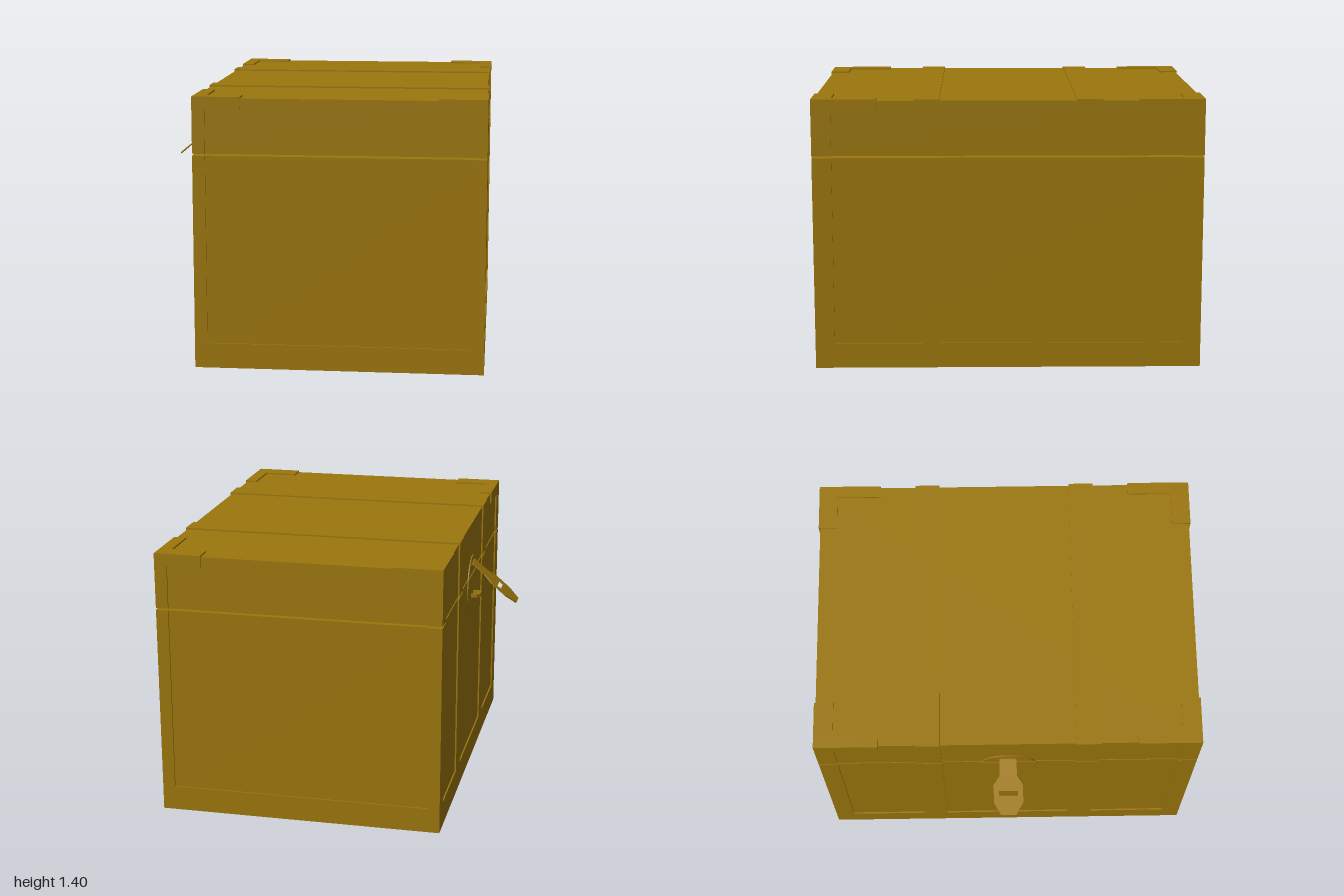
import * as THREE from 'three';

const material = new THREE.MeshStandardMaterial({ color: 0x9c770d, side: THREE.DoubleSide });

// Overall extents of the chest
const X0 = -0.62, X1 = 0.865, Z = 1, H = 1.405;
const BODY_TOP = 1.105, LID_BOTTOM = 1.115;
const POST_X = 0.065, POST_Z = 0.1, RAIL = 0.13, PLATE = 0.065;
const D = 0.008; // depth of the recessed panels

function add(parent, name, geometry) {
  const mesh = new THREE.Mesh(geometry, material);
  mesh.name = name;
  parent.add(mesh);
  return mesh;
}

// Box given by its two extreme corners
function slab(parent, name, x0, x1, y0, y1, z0, z1) {
  const mesh = add(parent, name, new THREE.BoxGeometry(x1 - x0, y1 - y0, z1 - z0));
  mesh.position.set((x0 + x1) / 2, (y0 + y1) / 2, (z0 + z1) / 2);
  return mesh;
}

// Calls build(x range maker, z range maker) for each of the four corners;
// both makers take distances measured inwards from the corner
function eachCorner(build) {
  for (const left of [false, true]) for (const front of [false, true]) {
    const xr = (a, b) => (left ? [X1 - b, X1 - a] : [X0 + a, X0 + b]);
    const zr = (a, b) => (front ? [Z - b, Z - a] : [-Z + a, -Z + b]);
    build(xr, zr);
  }
}

function buildBody() {
  const body = new THREE.Group();
  body.name = 'body';
  slab(body, 'bodyPanels', X0 + D, X1 - D, D, BODY_TOP, -Z + D, Z - D);
  eachCorner((xr, zr) => slab(body, 'bodyCornerPost', ...xr(0, POST_X), 0, BODY_TOP, ...zr(0, POST_Z)));
  // Bottom rails between the posts
  for (const [a, b] of [[-Z, -Z + POST_Z], [Z - POST_Z, Z]])
    slab(body, 'endRail', X0 + POST_X, X1 - POST_X, 0, RAIL, a, b);
  for (const [a, b] of [[X0, X0 + POST_X], [X1 - POST_X, X1]])
    slab(body, 'sideRail', a, b, 0, RAIL, -Z + POST_Z, Z - POST_Z);
  return body;
}

function buildLid() {
  const lid = new THREE.Group();
  lid.name = 'lid';
  slab(lid, 'lidPanels', X0 + D, X1 - D, LID_BOTTOM, H - D, -Z + D, Z - D);
  eachCorner((xr, zr) => {
    slab(lid, 'lidCornerPost', ...xr(0, POST_X), LID_BOTTOM, H, ...zr(0, POST_Z));
    // Arms of the corner plate
    slab(lid, 'cornerPlateEnd', ...xr(POST_X, 0.245), H - PLATE, H, ...zr(0, POST_Z));
    slab(lid, 'cornerPlateSide', ...xr(0, POST_X), H - PLATE, H, ...zr(POST_Z, 0.33));
  });
  return lid;
}

// Two straps over the lid and down the latch side
function buildStraps() {
  const straps = new THREE.Group();
  straps.name = 'straps';
  for (const z0 of [-0.48, 0.35]) {
    const z1 = z0 + 0.13;
    slab(straps, 'topStrap', X0, X1, H - 2 * D, H, z0, z1);
    slab(straps, 'lidStrap', X0, X0 + 2 * D, LID_BOTTOM, H - 2 * D, z0, z1);
    slab(straps, 'bodyStrap', X0, X0 + 2 * D, RAIL, BODY_TOP, z0, z1);
  }
  return straps;
}

function buildLatch() {
  const latch = new THREE.Group();
  latch.name = 'latch';

  // Round backing plate, cut in two by the lid seam
  const cy = 1.055, r = 0.155;
  for (const [name, y, upper] of [['lidBackplate', LID_BOTTOM, true], ['bodyBackplate', BODY_TOP, false]]) {
    const a = Math.asin((y - cy) / r);
    const disc = new THREE.Shape();
    if (upper) disc.absarc(0, cy, r, a, Math.PI - a, false);
    else disc.absarc(0, cy, r, Math.PI - a, 2 * Math.PI + a, false);
    const plate = add(latch, name, new THREE.ExtrudeGeometry(disc, { depth: D, bevelEnabled: false, curveSegments: 24 }));
    plate.rotation.y = -Math.PI / 2;
    plate.position.x = X0 + D + 0.002;
  }

  // Staple loop sticking out of the body
  const loop = new THREE.Shape();
  loop.moveTo(0, -0.04).lineTo(-0.035, -0.04).lineTo(-0.055, -0.02).lineTo(-0.055, 0.02);
  loop.lineTo(-0.035, 0.04).lineTo(0, 0.04).lineTo(0, 0.025).lineTo(-0.028, 0.025);
  loop.lineTo(-0.04, 0.013).lineTo(-0.04, -0.013).lineTo(-0.028, -0.025).lineTo(0, -0.025);
  const staple = add(latch, 'staple', new THREE.ExtrudeGeometry(loop, { depth: 0.02, bevelEnabled: false }));
  staple.rotation.x = Math.PI / 2;
  staple.position.set(X0 + D, 1.0, 0);

  // Raised hasp with a slot, hinged on the lid
  const half = [[0, 0.045], [0.089, 0.045], [0.141, 0.078], [0.246, 0.078], [0.318, 0.04]];
  const outline = [...half.map(([s, w]) => [s, -w]), ...half.slice().reverse()];
  const shape = new THREE.Shape(outline.map(([s, w]) => new THREE.Vector2(s, w)));
  const slot = [[0.178, -0.05], [0.178, 0.05], [0.205, 0.05], [0.205, -0.05]];
  shape.holes.push(new THREE.Path(slot.map(([s, w]) => new THREE.Vector2(s, w))));
  const hasp = add(latch, 'hasp', new THREE.ExtrudeGeometry(shape, { depth: 0.007, bevelEnabled: false }));
  const along = new THREE.Vector3(-0.243, -0.205, 0).normalize();
  const across = new THREE.Vector3(0, 0, 1);
  const normal = new THREE.Vector3().crossVectors(along, across);
  hasp.quaternion.setFromRotationMatrix(new THREE.Matrix4().makeBasis(along, across, normal));
  hasp.position.set(X0 - 0.002, 1.17, 0);

  const pin = add(latch, 'hingePin', new THREE.CylinderGeometry(0.006, 0.006, 0.09, 10));
  pin.rotation.x = Math.PI / 2;
  pin.position.set(X0 - 0.001, 1.172, 0);
  return latch;
}

export function createModel() {
  const chest = new THREE.Group();
  chest.name = 'chest';
  chest.add(buildBody(), buildLid(), buildStraps(), buildLatch());
  return chest;
}
